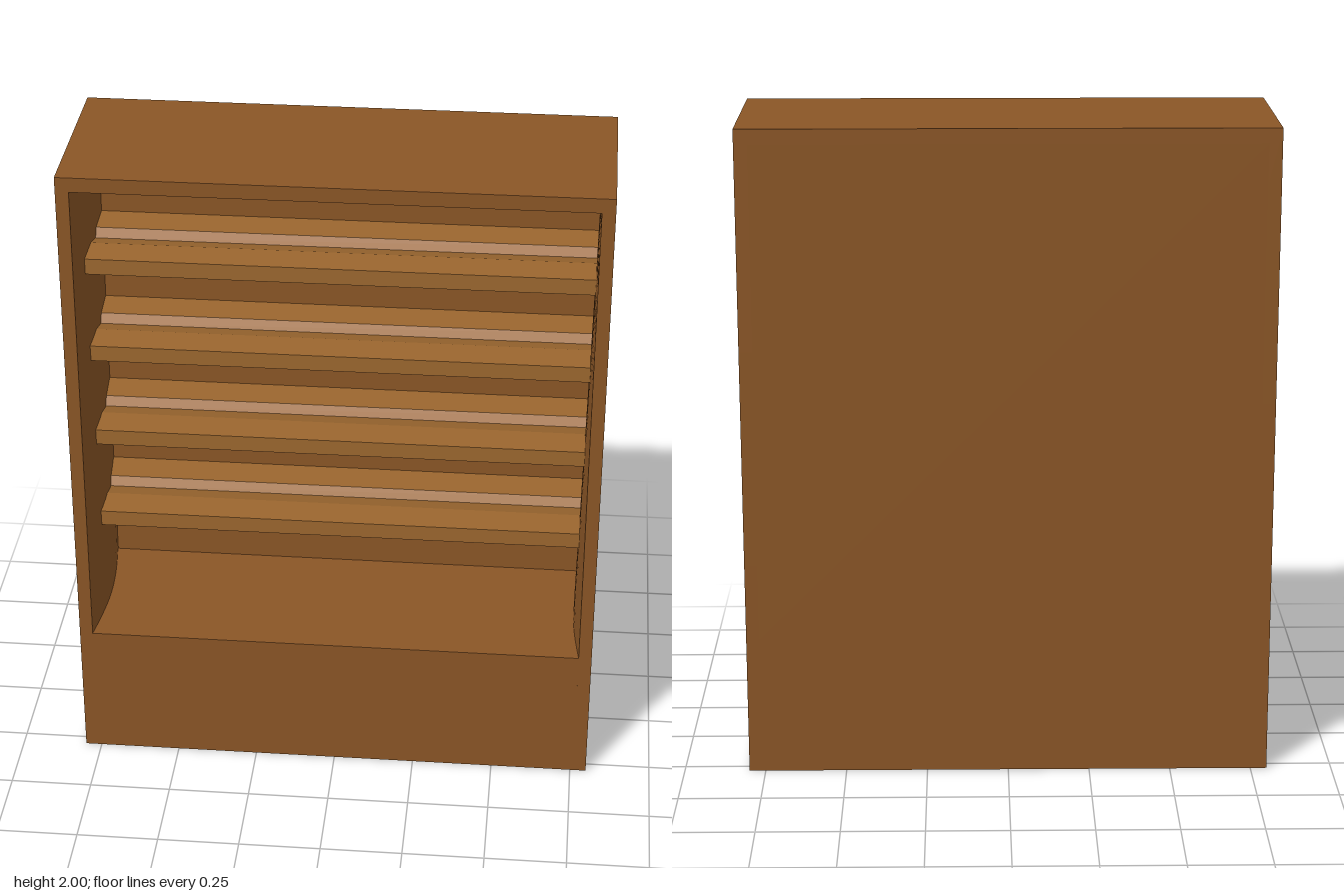
import * as THREE from 'three';

const W = 1.6, H = 2, D = 0.57;        // outer size
const T = 0.04;                        // wall thickness
const FLOOR = 0.43, CEIL = 1.955;      // inside of the opening
const BACK = -0.21;                    // inner face of the back panel

export function createModel() {
  const group = new THREE.Group();
  const wood = new THREE.MeshStandardMaterial({ color: 0x8b5626, flatShading: true });
  const shelfWood = new THREE.MeshStandardMaterial({ color: 0x9c672f, flatShading: true });

  const add = (name, geometry, material, x = 0, y = 0, z = 0) => {
    const mesh = new THREE.Mesh(geometry, material);
    mesh.name = name;
    mesh.position.set(x, y, z);
    group.add(mesh);
  };
  const inner = W - 2 * T;

  // Side panels, the inner faces bowing slightly inwards towards the floor
  for (const side of [-1, 1]) {
    const g = new THREE.BoxGeometry(T, H, D, 1, 12, 12);
    const p = g.attributes.position;
    for (let i = 0; i < p.count; i++) {
      if (p.getX(i) * side > 0) continue;
      const y = p.getY(i) + H / 2;
      const low = THREE.MathUtils.clamp((CEIL - y) / (CEIL - FLOOR), 0, 1);
      const depth = THREE.MathUtils.clamp((D / 2 - p.getZ(i)) / (D / 2 - BACK), 0, 1);
      p.setX(i, p.getX(i) - side * 0.022 * low * Math.sin(depth * Math.PI));
    }
    g.computeVertexNormals();
    add(side > 0 ? 'leftSide' : 'rightSide', g, wood, side * (W - T) / 2, H / 2, 0);
  }

  // Top, plinth and back
  add('top', new THREE.BoxGeometry(inner, H - CEIL, D), wood, 0, (H + CEIL) / 2, 0);
  add('plinth', new THREE.BoxGeometry(inner, FLOOR, D), wood, 0, FLOOR / 2, 0);
  add('backPanel', new THREE.BoxGeometry(inner, CEIL - FLOOR, BACK + D / 2), wood,
    0, (CEIL + FLOOR) / 2, (BACK - D / 2) / 2);

  // Shelf section (z, y) with a shallow groove along the top
  const section = new THREE.Shape([
    [0.12, 0], [0.12, 0.05], [0.01, 0.05], [-0.075, 0.024],
    [-0.095, 0.05], [BACK, 0.05], [BACK, 0],
  ].map(([z, y]) => new THREE.Vector2(-z, y)));
  const shelf = new THREE.ExtrudeGeometry(section, { depth: inner, bevelEnabled: false });
  shelf.translate(0, 0, -inner / 2);
  shelf.rotateY(Math.PI / 2);
  for (let i = 0; i < 4; i++) add(`shelf${i + 1}`, shelf, shelfWood, 0, 0.73 + i * 0.293, 0);

  return group;
}
